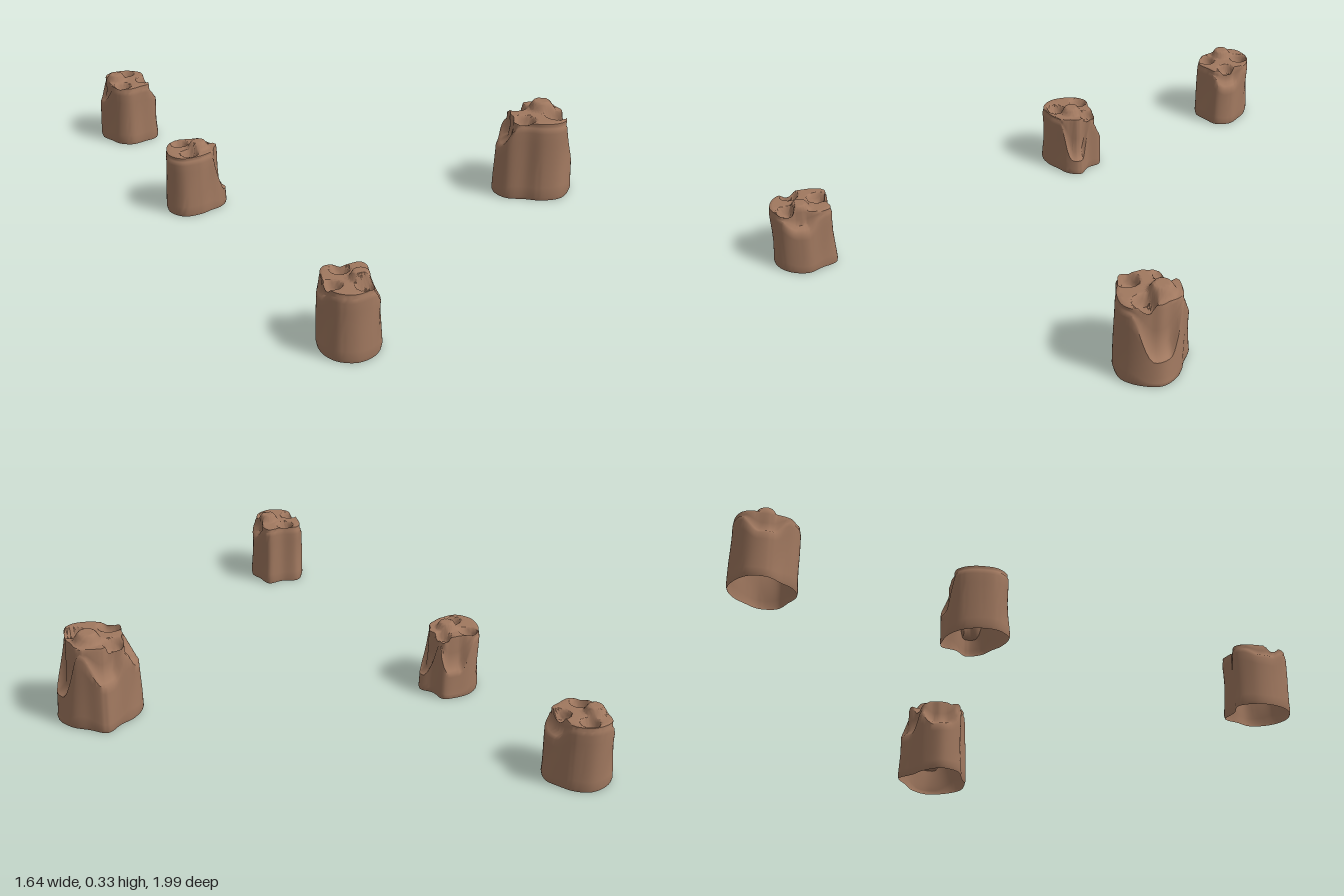
import * as THREE from 'three';
import { toCreasedNormals } from 'three/addons/utils/BufferGeometryUtils.js';

// radii: outline every 30 degrees from +x towards +z
// ledges: [degrees, shoulder height share, inset above it]
// knob: offset of the highest lump; dents: degrees of the first hollow in the top
const ROCKS = [
  {
    name: 'backRock', centre: [-0.713, -0.89], height: 0.262, knob: [-0.042, -0.01], dents: 270,
    radii: [0.108, 0.112, 0.096, 0.104, 0.098, 0.09, 0.108, 0.116, 0.112, 0.11, 0.1, 0.094],
    ledges: [[0, 0.66, 0.7], [185, 0.62, 0.75]],
  },
  {
    name: 'middleRock', centre: [-0.54, -0.21], height: 0.253, knob: [0.01, 0.01], dents: 115,
    radii: [0.106, 0.095, 0.083, 0.097, 0.122, 0.122, 0.11, 0.103, 0.098, 0.098, 0.108, 0.081],
    ledges: [[5, 0.27, 0.72], [275, 0.43, 0.7]],
  },
  {
    name: 'largeRock', centre: [0.67, -0.075], height: 0.335, knob: [0.035, -0.025], dents: 33,
    radii: [0.147, 0.142, 0.142, 0.125, 0.114, 0.143, 0.15, 0.125, 0.11, 0.14, 0.117, 0.13],
    ledges: [[0, 0.33, 0.72], [180, 0.6, 0.62], [260, 0.55, 0.72]],
  },
  {
    name: 'frontRock', centre: [-0.225, 0.885], height: 0.262, knob: [0.033, 0.005], dents: 55,
    radii: [0.1, 0.1, 0.104, 0.11, 0.107, 0.1, 0.1, 0.108, 0.12, 0.095, 0.122, 0.095],
    ledges: [[5, 0.68, 0.64], [180, 0.74, 0.83]],
  },
];

const COLUMNS = 72;
const BASE = 0.006;
const { lerp, degToRad, smoothstep } = THREE.MathUtils;

// Shoulder height share and inset at an angle, blended from the nearby ledges
function shoulderAt(degrees, ledges) {
  let share = 0.84, inset = 0.94;
  for (const [at, ledgeShare, ledgeInset] of ledges) {
    const gap = Math.abs((degrees - at + 540) % 360 - 180);
    const weight = 1 - smoothstep(gap, 12, 50);
    share = lerp(share, ledgeShare, weight);
    inset = lerp(inset, ledgeInset, weight);
  }
  return { share, inset };
}

// Rings [outline factor, y, top influence]: open base, wall, shoulder, then in across the top
function ringsFor(shoulder, inset, plateau) {
  const rings = [[0.97, BASE, 0], [1, 0.018, 0]];
  for (const q of [0.2, 0.4, 0.6, 0.8, 0.94]) rings.push([1 - 0.02 * q, shoulder * q, 0]);
  rings.push([lerp(0.98, inset, 0.3), shoulder, 0]);
  rings.push([lerp(0.98, inset, 0.85), lerp(shoulder, plateau, 0.15), 0]);
  rings.push([inset, lerp(shoulder, plateau, 0.5), 0]);
  rings.push([inset, lerp(shoulder, plateau, 0.9), 0.5]);
  for (let k = 0; k <= 12; k++) rings.push([inset * 0.97 * (1 - k / 12), plateau, 1]);
  return rings;
}

function rockGeometry({ centre, height, knob, dents, radii, ledges }) {
  const plateau = height * 0.905;
  const size = radii.reduce((sum, r) => sum + r, 0) / radii.length;
  const outline = new THREE.CatmullRomCurve3(radii.map((r, i) => {
    const a = degToRad(i * 30);
    return new THREE.Vector3(r * Math.cos(a), 0, r * Math.sin(a));
  }), true, 'catmullrom', 0.5);

  // One raised knob and three hollows on the top: [x, z, radius, height]
  const lumps = [[...knob, size * 0.36, height - plateau]];
  for (let k = 0; k < 3; k++) {
    const a = degToRad(dents + k * 100);
    lumps.push([size * 0.62 * Math.cos(a), size * 0.62 * Math.sin(a), size * 0.3, -size * 0.32]);
  }

  const columns = [];
  for (let j = 0; j < COLUMNS; j++) {
    const { share, inset } = shoulderAt(j / COLUMNS * 360, ledges);
    columns.push({ edge: outline.getPoint(j / COLUMNS), rings: ringsFor(height * share, inset, plateau) });
  }

  const rows = columns[0].rings.length;
  const positions = [], index = [];
  for (let i = 0; i < rows; i++) {
    columns.forEach(({ edge, rings }, j) => {
      let [f, y, top] = rings[i];
      // Gentle weathered hollows in the wall
      const a = j / COLUMNS * Math.PI * 2, t = y / height;
      f *= 1 - 0.03 * Math.sin(Math.PI * t) * (1 + Math.sin(a * 5 + dents + t * 4));
      const x = edge.x * f, z = edge.z * f;
      for (const [lx, lz, r, h] of lumps) {
        y += top * h * (1 - smoothstep(Math.hypot(x - lx, z - lz) / r, 0.55, 1.1));
      }
      positions.push(centre[0] + x, y, centre[1] + z);
    });
  }
  for (let i = 0; i < rows - 1; i++) {
    for (let j = 0; j < COLUMNS; j++) {
      const a = i * COLUMNS + j, b = i * COLUMNS + (j + 1) % COLUMNS;
      const c = a + COLUMNS, d = b + COLUMNS;
      index.push(a, c, b);
      if (i < rows - 2) index.push(b, c, d);
    }
  }
  const geometry = new THREE.BufferGeometry();
  geometry.setAttribute('position', new THREE.Float32BufferAttribute(positions, 3));
  geometry.setIndex(index);
  return toCreasedNormals(geometry, 0.9);
}

export function createModel() {
  const group = new THREE.Group();
  group.name = 'rocks';
  const stone = new THREE.MeshStandardMaterial({ color: 0xa0785f, side: THREE.DoubleSide });
  stone.name = 'brown stone';
  for (const rock of ROCKS) {
    const mesh = new THREE.Mesh(rockGeometry(rock), stone);
    mesh.name = rock.name;
    group.add(mesh);
  }
  return group;
}
